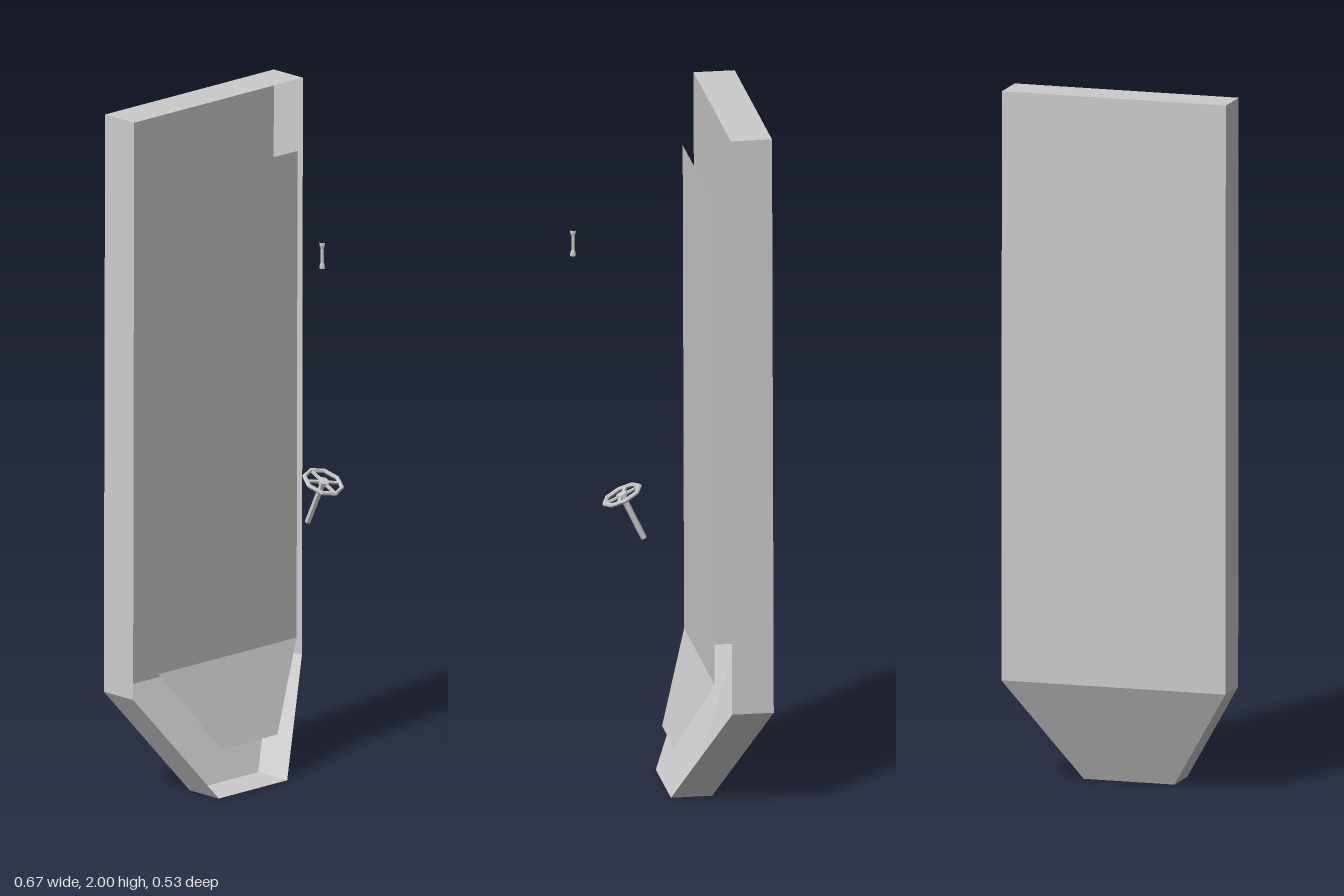
import * as THREE from 'three';

// Flat-shaded geometry from a list of four-cornered faces
function quads(faces) {
  const pos = [];
  for (const [a, b, c, d] of faces) pos.push(...a, ...b, ...c, ...a, ...c, ...d);
  const g = new THREE.BufferGeometry();
  g.setAttribute('position', new THREE.Float32BufferAttribute(pos, 3));
  g.computeVertexNormals();
  return g;
}

export function createModel() {
  const model = new THREE.Group();
  model.name = 'hatchModel';
  const grey = new THREE.MeshStandardMaterial({ color: 0xcccccc, flatShading: true });
  grey.name = 'grey';
  const greySheet = new THREE.MeshStandardMaterial({ color: 0xcccccc, flatShading: true, side: THREE.DoubleSide });
  greySheet.name = 'greySheet';

  const add = (parent, name, geometry, material = grey) => {
    const mesh = new THREE.Mesh(geometry, material);
    mesh.name = name;
    parent.add(mesh);
    return mesh;
  };

  // Open-fronted tray: levels are [y, half width, front z, back z]
  const levels = [
    [0, 0.135, -0.004, -0.122],
    [0.3, 0.333, -0.148, -0.267],
    [2, 0.333, -0.144, -0.262],
  ];
  // Corner order: front left, back left, back right, front right
  const rings = levels.map(([y, w, f, b]) => [[w, y, f], [w, y, b], [-w, y, b], [-w, y, f]]);
  const trayFaces = [[...rings[0]].reverse(), rings[2]];
  for (let i = 0; i < 2; i++) {
    for (let k = 0; k < 3; k++) {
      trayFaces.push([rings[i][k], rings[i][k + 1], rings[i + 1][k + 1], rings[i + 1][k]]);
    }
  }
  add(model, 'tray', quads(trayFaces), greySheet);

  // Thin bent panel in front of the tray: rows are [y, half width, z]
  const rows = [[0.137, 0.11, -0.018], [0.372, 0.272, -0.107], [1.805, 0.272, -0.103]];
  const panelFaces = [0, 1].map((i) => {
    const [y0, w0, z0] = rows[i];
    const [y1, w1, z1] = rows[i + 1];
    return [[-w0, y0, z0], [w0, y0, z0], [w1, y1, z1], [-w1, y1, z1]];
  });
  add(model, 'panel', quads(panelFaces), greySheet);

  // Tilted hand wheel on a stem
  const wheel = new THREE.Group();
  wheel.name = 'handWheel';
  wheel.position.set(0.14, 0.906, 0.137);
  wheel.rotation.x = 0.45;
  model.add(wheel);

  const rim = new THREE.TorusGeometry(0.056, 0.0065, 6, 8);
  rim.rotateX(Math.PI / 2);
  add(wheel, 'rim', rim);
  add(wheel, 'hub', new THREE.CylinderGeometry(0.018, 0.018, 0.01, 6));
  for (const angle of [Math.PI / 2, -Math.PI / 2, -0.4, Math.PI - 0.4]) {
    const spoke = new THREE.BoxGeometry(0.043, 0.006, 0.009);
    spoke.translate(0.032, 0, 0);
    spoke.rotateY(angle);
    add(wheel, 'spoke', spoke);
  }
  const stem = new THREE.CylinderGeometry(0.009, 0.009, 0.145, 6);
  stem.translate(0, -0.0725, 0);
  add(wheel, 'stem', stem);

  // Small open-ended grip, pinched in the middle
  const profile = [[0.008, -0.038], [0.008, -0.03], [0.005, -0.02], [0.005, 0.02], [0.008, 0.03], [0.008, 0.038]];
  const grip = add(model, 'grip', new THREE.LatheGeometry(profile.map(([r, y]) => new THREE.Vector2(r, y)), 6));
  grip.position.set(0.019, 1.622, 0.258);

  return model;
}
